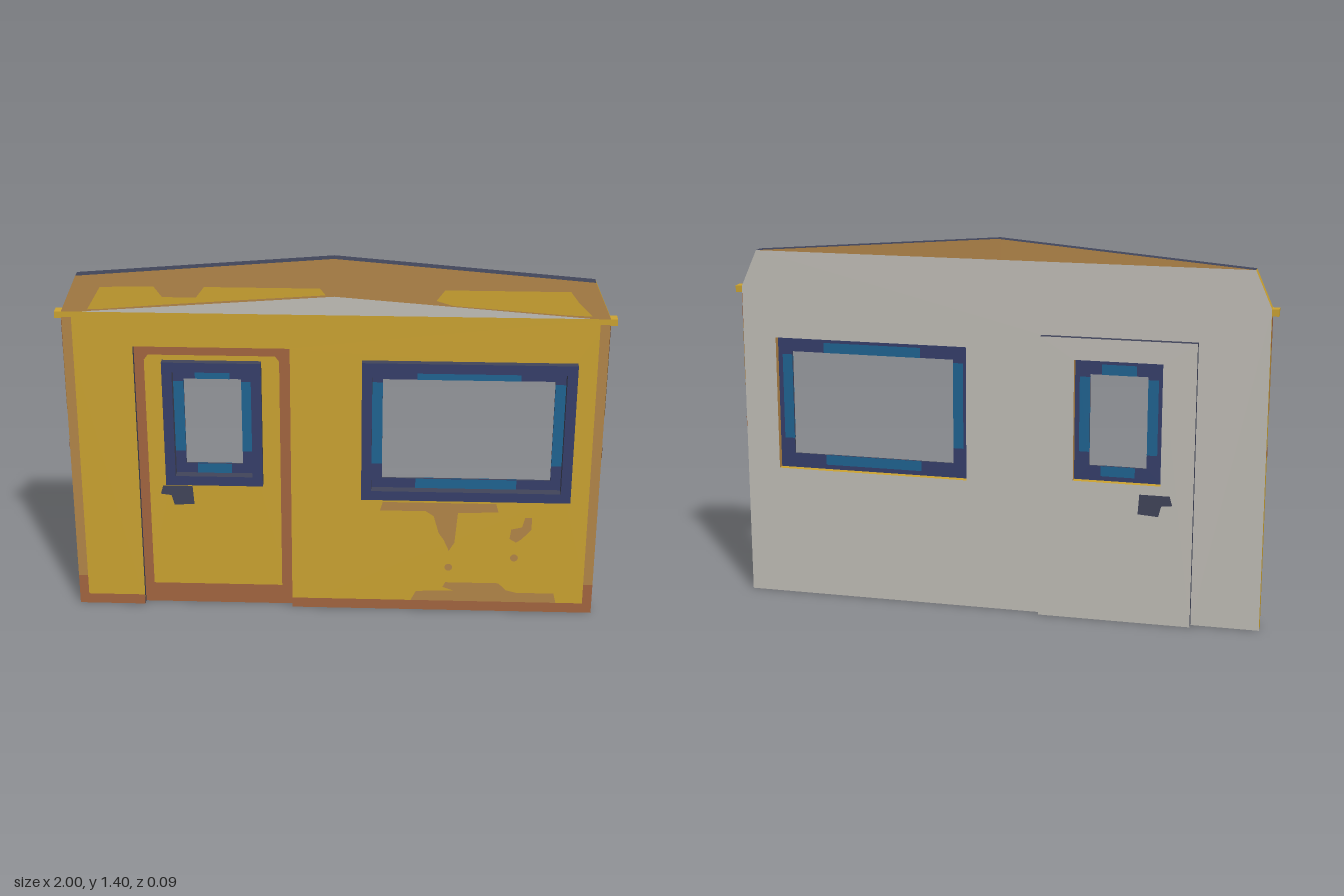
import * as THREE from 'three';

const mat = (name, color) =>
  new THREE.MeshStandardMaterial({ name, color, side: THREE.DoubleSide });

export function createModel() {
  const model = new THREE.Group();
  model.name = 'cabinWall';
  const yellow = mat('yellow paint', 0xcca331), tan = mat('worn tan', 0xb38649),
    rust = mat('rust', 0xa46640), slate = mat('dark slate', 0x41455a),
    navy = mat('navy', 0x363f6b), blue = mat('blue', 0x1f6492),
    grey = mat('plain grey', 0xc2bfb8);
  const F = 0.02, B = -0.02, DOOR = -0.025; // wall skins and door setback

  const V = pts => pts.map(p => new THREE.Vector2(...p));
  const rect = (x0, y0, x1, y1) => [[x0, y0], [x1, y0], [x1, y1], [x0, y1]];
  const inset = ([x0, y0, x1, y1], m) => [x0 + m, y0 + m, x1 - m, y1 - m];
  const shape = (pts, ...holes) => {
    const s = new THREE.Shape(V(pts));
    holes.forEach(h => s.holes.push(new THREE.Path(V(h))));
    return s;
  };
  const add = (name, geo, material, parent = model) => {
    const m = new THREE.Mesh(geo, material);
    m.name = name;
    parent.add(m);
    return m;
  };
  // flat sheet at depth z
  const sheet = (name, z, material, pts, ...holes) =>
    add(name, new THREE.ShapeGeometry(shape(pts, ...holes)).translate(0, 0, z), material);
  // solid ring or plate with separate face and edge colours
  const slab = (name, z, depth, face, edge, pts, ...holes) =>
    add(name, new THREE.ExtrudeGeometry(shape(pts, ...holes),
      { depth, bevelEnabled: false }).translate(0, 0, z), [face, edge]);
  // strip that follows a line and spans z0 to z1
  const strip = (name, z0, z1, material, pts) => {
    const pos = [];
    for (let i = 0; i < pts.length - 1; i++) {
      const [a, b] = [pts[i], pts[i + 1]];
      pos.push(...a, z1, ...a, z0, ...b, z0, ...a, z1, ...b, z0, ...b, z1);
    }
    const g = new THREE.BufferGeometry();
    g.setAttribute('position', new THREE.Float32BufferAttribute(pos, 3));
    g.computeVertexNormals();
    return add(name, g, material);
  };
  const patch = (name, z, material, pts) => sheet(name, z + 0.0015, material, pts);

  const win = [0.10, 0.475, 0.87, 1.02], doorWin = [-0.625, 0.51, -0.265, 1.0];
  const dx0 = -0.725, dx1 = -0.16, dTop = 1.06;
  const notch = [[dx0, 0], [dx0, dTop], [dx1, dTop], [dx1, 0]];
  const winHole = rect(...inset(win, 0.02)), doorHole = rect(...inset(doorWin, 0.02));

  // wall skins
  sheet('frontWall', F, yellow,
    [[-0.975, 0], ...notch, [0.975, 0], [0.975, 1.19], [-0.975, 1.19]], winHole);
  sheet('backWall', B, grey,
    [[-0.975, 0], ...notch, [0.975, 0], [0.975, 1.19], [0.915, 1.325],
      [-0.915, 1.325], [-0.975, 1.19]], winHole);

  // gable board above the front wall, open beneath
  sheet('gableBoard', F, tan, [[-0.975, 1.19], [-0.92, 1.19], [0, 1.26], [0.92, 1.19],
    [0.975, 1.19], [0.915, 1.325], [0, 1.4], [-0.915, 1.325]]);
  patch('gablePaintRight', F, yellow, [[-0.88, 1.2], [-0.83, 1.285], [-0.64, 1.29],
    [-0.61, 1.25], [-0.49, 1.25], [-0.46, 1.29], [-0.05, 1.29], [-0.03, 1.265],
    [-0.3, 1.245], [-0.6, 1.222], [-0.82, 1.203]]);
  patch('gablePaintLeft', F, yellow, [[0.36, 1.25], [0.39, 1.29], [0.83, 1.29],
    [0.86, 1.25], [0.91, 1.2], [0.82, 1.203], [0.42, 1.232]]);
  strip('roofEdge', B, F, slate, [[-0.915, 1.325], [0, 1.4], [0.915, 1.325]]);
  strip('wallUndersideRight', B, F, rust, [[-0.975, 0], [dx0, 0]]);
  strip('wallUndersideLeft', B, F, rust, [[dx1, 0], [0.975, 0]]);

  // wall ends, lips and the worn marks on them
  for (const s of [-1, 1]) {
    strip('wallEnd', B, F, yellow, [[s * 0.975, 0], [s * 0.975, 1.19], [s * 0.915, 1.325]]);
    add('eaveLip', new THREE.BoxGeometry(0.025, 0.025, 0.04)
      .translate(s * 0.9875, 1.1775, 0), yellow);
    for (const [y0, y1, m] of [[1.05, 1.165, rust], [0.81, 1.05, tan], [0.65, 0.69, rust]])
      strip('endWear', B, F, m, [[s * 0.9765, y0], [s * 0.9765, y1]]);
    patch('edgeWear', F, tan, rect(...(s < 0 ? [-0.975, 0.12, -0.94, 1.17] : [0.94, 0.12, 0.975, 1.17])));
    patch('cornerRust', F, rust, rect(...(s < 0 ? [-0.975, 0.04, -0.94, 0.12] : [0.94, 0.04, 0.975, 0.12])));
  }
  patch('baseRustRight', F, rust, rect(-0.975, 0, dx0, 0.04));
  patch('baseRustLeft', F, rust, rect(dx1, 0, 0.975, 0.04));

  // stains on the front
  patch('baseStain', F, tan, [[0.29, 0.04], [0.31, 0.08], [0.45, 0.085], [0.41, 0.1],
    [0.42, 0.12], [0.62, 0.12], [0.65, 0.09], [0.69, 0.08], [0.83, 0.08], [0.84, 0.04]]);
  patch('sillStain', F, tan, [[0.17, 0.42], [0.18, 0.455], [0.6, 0.455], [0.61, 0.42],
    [0.46, 0.415], [0.45, 0.29], [0.43, 0.255], [0.41, 0.3], [0.39, 0.33], [0.37, 0.4], [0.34, 0.42]]);
  patch('spotStain', F, tan, [[0.655, 0.31], [0.66, 0.35], [0.7, 0.36], [0.71, 0.4],
    [0.735, 0.4], [0.735, 0.35], [0.7, 0.31], [0.68, 0.295]]);
  for (const [x, y] of [[0.43, 0.185], [0.675, 0.23]])
    add('dotStain', new THREE.CircleGeometry(0.015, 10).translate(x, y, F + 0.0015), tan);

  // recessed door
  const doorRect = rect(dx0, 0, dx1, dTop), dF = F + DOOR, dB = B + DOOR;
  sheet('doorFront', dF, yellow, doorRect, doorHole);
  sheet('doorBack', dB, grey, doorRect, doorHole);
  strip('doorEdge', dB, F, slate, notch);
  strip('doorUnderside', dB, dF, rust, [[dx0, 0], [dx1, 0]]);
  patch('doorRim', dF, rust, [[dx0, 0], [dx1, 0], [dx1, dTop], [dx0, dTop]])
    .geometry = new THREE.ShapeGeometry(shape(doorRect, [[-0.69, 0.08], [-0.2, 0.08],
      [-0.2, 1.0], [-0.215, 1.02], [-0.675, 1.02], [-0.69, 1.0]])).translate(0, 0, dF + 0.0015);
  const latch = [[-0.65, 0.46], [-0.64, 0.495], [-0.53, 0.495], [-0.525, 0.42],
    [-0.6, 0.415], [-0.61, 0.455]];
  patch('latchFront', dF, slate, latch);
  patch('latchBack', dB - 0.003, slate, latch);

  // windows: raised frame, set-back inner ring and the reveal behind
  const windowUnit = (name, r, dz) => {
    const h = inset(r, 0.02), i = inset(r, 0.037), o = inset(r, 0.075);
    slab(name + 'Frame', 0.012 + dz, 0.035, navy, slate, rect(...r), rect(...i));
    slab(name + 'InnerRing', 0.005 + dz, 0.007, navy, slate, rect(...h), rect(...o));
    const [x0, y0, x1, y1] = h, z0 = B + dz, z1 = 0.005 + dz;
    strip(name + 'Sill', z0, z1, yellow, [[x0, y0], [x1, y0]]);
    strip(name + 'Head', z0, z1, slate, [[x0, y1], [x1, y1]]);
    for (const x of [x0, x1]) strip(name + 'Jamb', z0, z1, tan, [[x, y0], [x, y1]]);
    // blue middles of each ring side, on both faces
    const w = o[2] - o[0], t = o[3] - o[1];
    for (const z of [0.012 + dz, 0.002 + dz]) {
      for (const [a, b] of [[i[1], o[1]], [o[3], i[3]]])
        patch(name + 'BluePaint', z, blue, rect(o[0] + w * 0.2, a, o[2] - w * 0.2, b));
      for (const [a, b] of [[i[0], o[0]], [o[2], i[2]]])
        patch(name + 'BluePaint', z, blue, rect(a, o[1] + t * 0.15, b, o[3] - t * 0.03));
    }
  };
  windowUnit('window', win, 0);
  windowUnit('doorWindow', doorWin, DOOR);
  return model;
}
